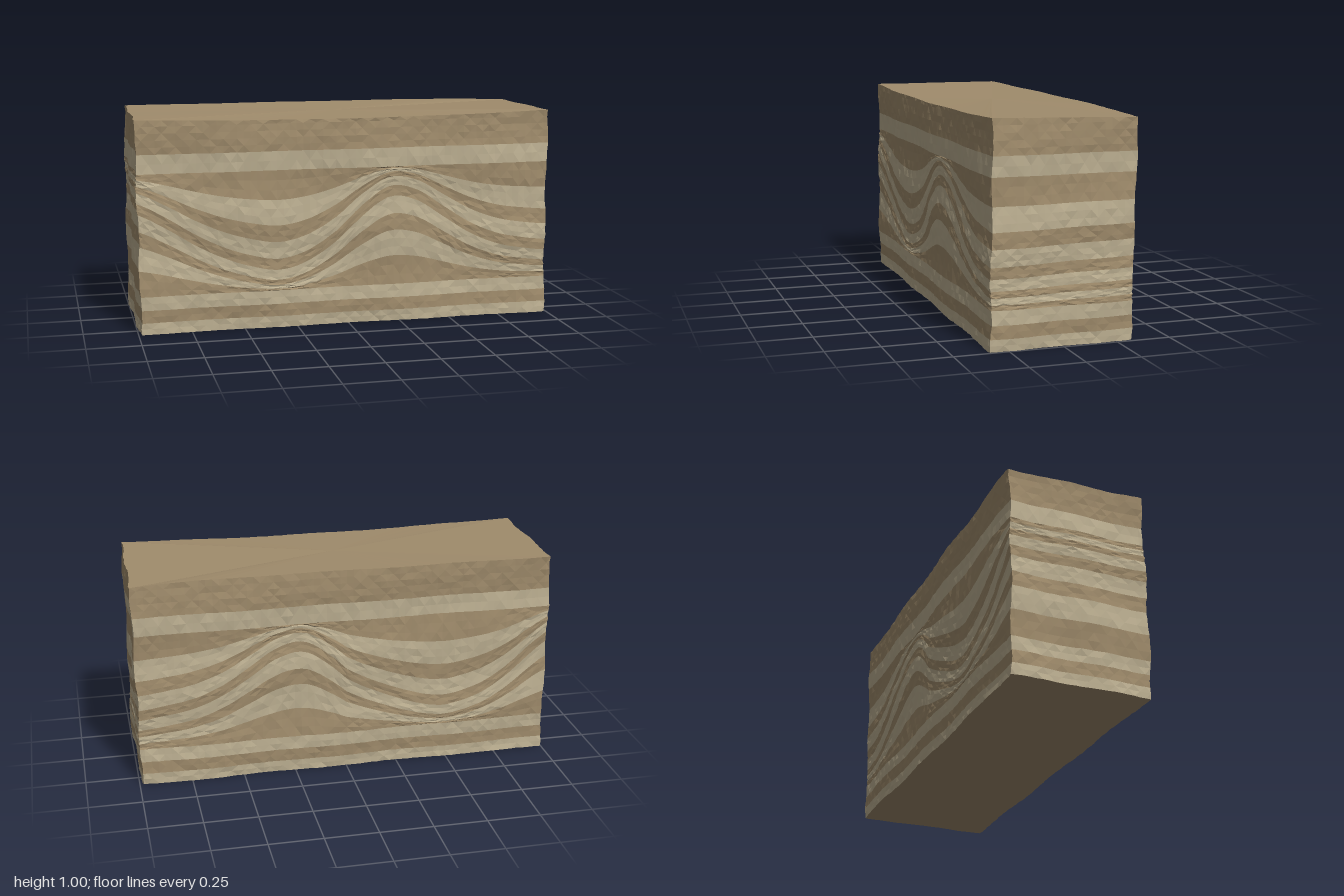
import * as THREE from 'three';

const HX = 1, HZ = 0.337;
const LOW = 0.18, HIGH = 0.75; // the folded beds lie between these heights

// Strength of the fold along x: positive pushes beds up, negative pulls them down
const foldCurve = new THREE.SplineCurve([
  0.22, 0.1, -0.05, -0.17, -0.25, -0.29, -0.23, -0.08, 0.14, 0.29, 0.25, 0.1, -0.05, -0.15, -0.2, -0.23,
].map((a, i) => new THREE.Vector2(-1 + i * 2 / 15, a)));

function fold(x, z) {
  const back = (HZ - z) / (2 * HZ);
  const sx = x + 0.13 * back * Math.sin(Math.PI * Math.max(0, -x));
  const t = THREE.MathUtils.clamp((sx + 1) / 2, 0, 1);
  return foldCurve.getPoint(t).y + 0.03 * back * Math.max(0, x);
}

// Repeatable value from 0 to 1
function hash(a, b) {
  const s = Math.sin(a * 127.1 + b * 311.7) * 43758.5453;
  return s - Math.floor(s);
}

// Corner-to-corner outline of the block, counter-clockwise seen from above
function outline() {
  const pts = [], nx = 64, nz = 22;
  for (let i = 0; i < nx; i++) pts.push([-HX + 2 * HX * i / nx, HZ]);
  for (let i = 0; i < nz; i++) pts.push([HX, HZ - 2 * HZ * i / nz]);
  for (let i = 0; i < nx; i++) pts.push([HX - 2 * HX * i / nx, -HZ]);
  for (let i = 0; i < nz; i++) pts.push([-HX, -HZ + 2 * HZ * i / nz]);
  return pts;
}
const ring = outline();

// Height of a bed level: folded levels are u in 0..1, flat ones a plain height
function heightAt(level, x, z) {
  if (level.u !== undefined) {
    const u = level.u;
    return LOW + (HIGH - LOW) * (u + fold(x, z) * Math.sin(Math.PI * u));
  }
  if (level.y < 1) return level.y;
  const front = (z + HZ) / (2 * HZ);
  return 1 - 0.017 * (1 - x * x) * front - 0.014 * Math.max(0, x) ** 4 * (1 - front);
}

// A weathered point on the outside of the block
function surfacePoint(i, level, row) {
  const [x, z] = ring[i];
  const y = heightAt(level, x, z);
  const wear = (along, seed) => 0.009
    + 0.005 * Math.sin(along * 10 + seed + y * 3)
    + 0.004 * Math.sin(y * 17 + seed * 2 + along * 2)
    + 0.005 * (hash(i, row + seed) - 0.5);
  let px = x, pz = z;
  if (Math.abs(x) > HX - 1e-6) px -= Math.sign(x) * wear(z * 1.6, x > 0 ? 1 : 2.6);
  if (Math.abs(z) > HZ - 1e-6) pz -= Math.sign(z) * wear(x, z > 0 ? 1.5 : 4);
  return [px, y, pz];
}

// Skin between successive rings of points
function bandGeometry(rows) {
  const pos = [], idx = [], n = ring.length;
  for (const { level, row } of rows)
    for (let i = 0; i < n; i++) pos.push(...surfacePoint(i, level, row));
  for (let r = 0; r < rows.length - 1; r++)
    for (let i = 0; i < n; i++) {
      const j = (i + 1) % n, a = r * n + i, b = r * n + j;
      if ((i + r) % 2) idx.push(a, b, b + n, a, b + n, a + n);
      else idx.push(a, b, a + n, b, b + n, a + n);
    }
  return finish(pos, idx);
}

// Flat end closing the ring
function capGeometry(level, row, up) {
  const pos = [0, heightAt(level, 0, 0), 0], idx = [], n = ring.length;
  for (let i = 0; i < n; i++) {
    pos.push(...surfacePoint(i, level, row));
    const a = i + 1, b = (i + 1) % n + 1;
    idx.push(0, up ? a : b, up ? b : a);
  }
  return finish(pos, idx);
}

function finish(pos, idx) {
  let g = new THREE.BufferGeometry();
  g.setAttribute('position', new THREE.Float32BufferAttribute(pos, 3));
  g.setIndex(idx);
  g = g.toNonIndexed();
  g.computeVertexNormals();
  return g;
}

export function createModel() {
  const group = new THREE.Group();
  group.name = 'foldedRockBlock';
  const paleStone = new THREE.MeshStandardMaterial({ color: 0xbdb092, flatShading: true });
  paleStone.name = 'paleStone';
  const brownStone = new THREE.MeshStandardMaterial({ color: 0xa08c6c, flatShading: true });
  brownStone.name = 'brownStone';

  const add = (name, geometry, material) => {
    const mesh = new THREE.Mesh(geometry, material);
    mesh.name = name;
    group.add(mesh);
  };

  // Bed boundaries from the base upward
  const levels = [
    ...[0, 0.055, 0.115].map(y => ({ y })),
    ...[0, 0.13, 0.255, 0.345, 0.46, 0.55, 0.66, 0.75, 0.87, 1].map(u => ({ u })),
    ...[0.84, 1].map(y => ({ y })),
  ];

  // Alternating pale and brown beds
  let row = 0;
  for (let k = 0; k < levels.length - 1; k++) {
    const lo = levels[k], hi = levels[k + 1];
    const folded = lo.u !== undefined && hi.u !== undefined;
    const steps = k === levels.length - 2 ? 5 : folded ? 3 : 2;
    const rows = [];
    for (let s = 0; s <= steps; s++) {
      const t = s / steps;
      let level = s === 0 ? lo : hi;
      if (s > 0 && s < steps) {
        if (folded) level = { u: lo.u + (hi.u - lo.u) * t };
        else {
          const y0 = lo.y ?? HIGH, y1 = hi.y ?? LOW;
          level = { y: y0 + (y1 - y0) * t };
        }
      }
      rows.push({ level, row: row + s });
    }
    add(`${folded ? 'folded' : 'flat'}Bed${k + 1}`, bandGeometry(rows), k % 2 ? brownStone : paleStone);
    row += steps;
  }

  // Top and underside
  add('topFace', capGeometry(levels[levels.length - 1], row, true), brownStone);
  add('underside', capGeometry(levels[0], 0, false), brownStone);
  return group;
}
